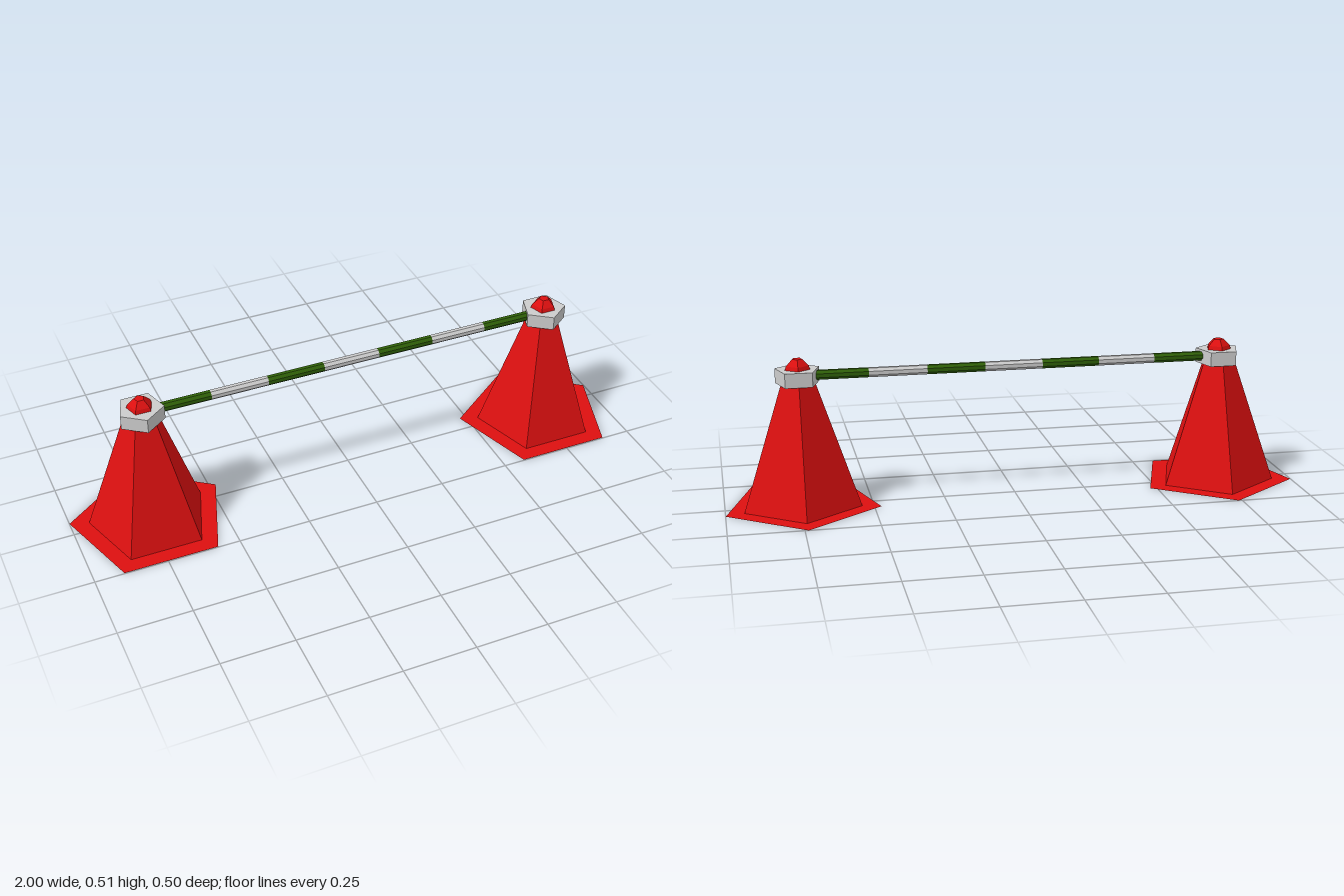
import * as THREE from 'three';

export function createModel() {
  const mat = (name, color, extra = {}) =>
    new THREE.MeshStandardMaterial({ name, color, flatShading: true, ...extra });
  const red = mat('red', 0xdd1010, { side: THREE.DoubleSide });
  const grey = mat('lightGrey', 0xcccccc);
  const green = mat('green', 0x2f6008);

  const model = new THREE.Group();
  model.name = 'barrier';
  const Z = 0.025;

  const add = (parent, name, geometry, material) => {
    const mesh = new THREE.Mesh(geometry, material);
    mesh.name = name;
    parent.add(mesh);
    return mesh;
  };

  // Five-sided frustum from y0 to y1; turn = Math.PI points a corner to the back
  const frustum = (r0, r1, y0, y1, open, turn) =>
    new THREE.CylinderGeometry(r1, r0, y1 - y0, 5, 1, open, turn).translate(0, (y0 + y1) / 2, 0);

  for (const side of [-1, 1]) {
    const post = new THREE.Group();
    post.name = side > 0 ? 'leftPost' : 'rightPost';
    post.position.set(side * 0.738, 0, Z);
    model.add(post);

    // Flat foot sheet, cone, bevelled tip and collar
    add(post, 'foot', new THREE.CircleGeometry(0.275, 5, Math.PI / 2).rotateX(-Math.PI / 2), red);
    add(post, 'cone', frustum(0.209, 0.04, 0, 0.488, true, Math.PI), red);
    add(post, 'tip', frustum(0.04, 0.018, 0.488, 0.51, false, Math.PI), red);
    add(post, 'collar', frustum(0.078, 0.078, 0.425, 0.475, false, 0), grey);
  }

  // Striped bar: seven equal lengths in alternating colours
  const bar = new THREE.Group();
  bar.name = 'bar';
  bar.position.set(0, 0.452, Z - 0.002);
  model.add(bar);
  for (let i = 0; i < 7; i++) {
    const stripe = new THREE.CylinderGeometry(0.017, 0.017, 0.2, 8, 1, false, Math.PI / 8);
    stripe.rotateZ(Math.PI / 2);
    add(bar, 'barStripe' + (i + 1), stripe, i % 2 ? grey : green).position.x = (i - 3) * 0.2;
  }

  return model;
}
